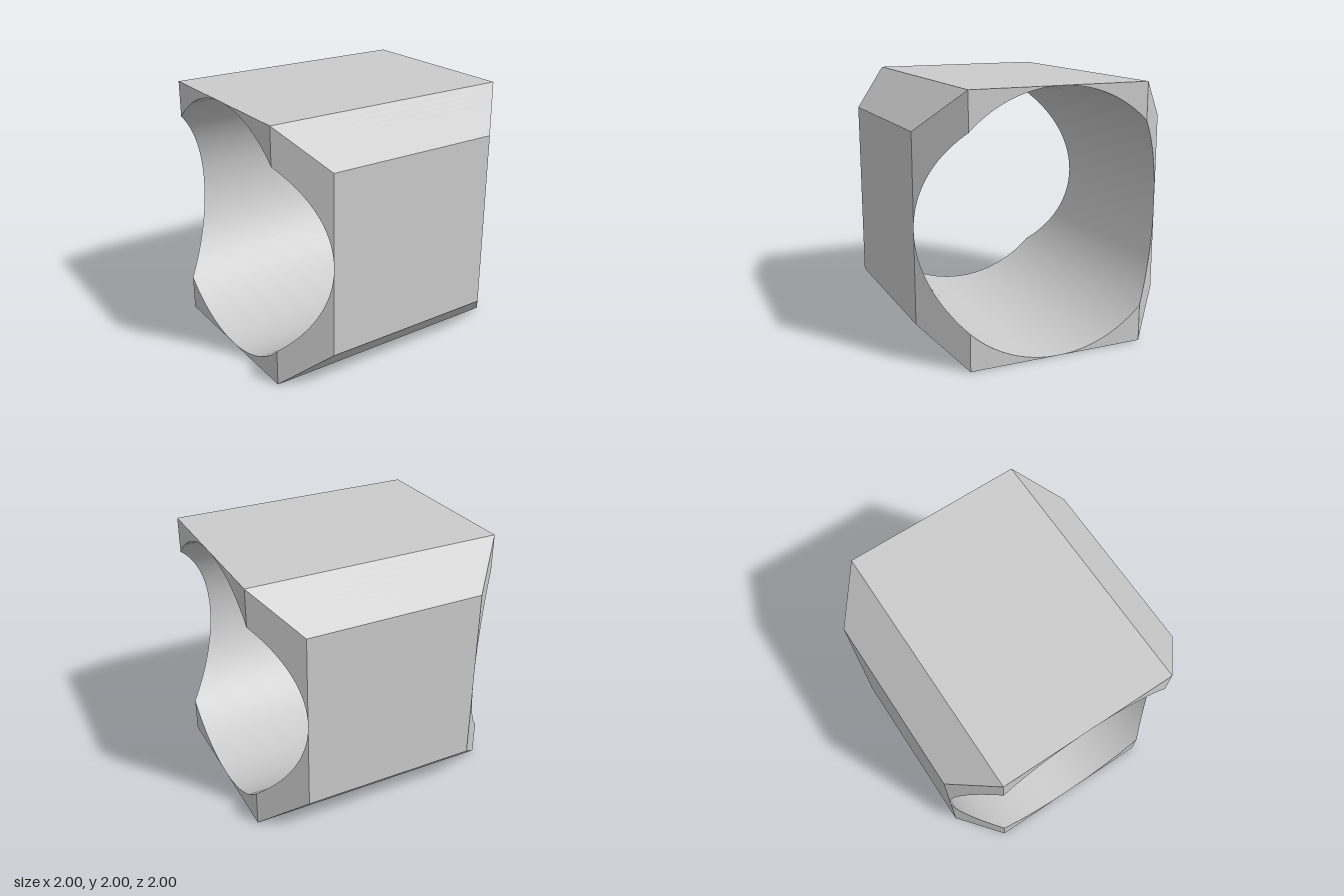
import * as THREE from 'three';
import { mergeGeometries, toCreasedNormals } from 'three/addons/utils/BufferGeometryUtils.js';

const FOLD = 0.7; // where the chamfers start, measured from the bore axis
const SEGMENTS = 64; // bore segments per half turn

// Half the block's length, shortened by the chamfered end corners
const halfLength = (z) => Math.min(1, 1 + FOLD - Math.abs(z));

const at = (side, [z, y]) => [side * halfLength(z), y, z];

// Geometry from a list of four-cornered faces
function fromQuads(quads) {
  const positions = quads.flatMap(([a, b, c, d]) => [a, b, c, a, c, d].flat());
  const geometry = new THREE.BufferGeometry();
  geometry.setAttribute('position', new THREE.Float32BufferAttribute(positions, 3));
  return geometry;
}

// A half and its half-turn copy about the bore axis
function bothHalves(quads) {
  const half = fromQuads(quads);
  return toCreasedNormals(mergeGeometries([half, half.clone().rotateX(Math.PI)]), 0.5);
}

export function createModel() {
  const material = new THREE.MeshStandardMaterial({ color: 0xcccccc });

  // Stations around the upper half, including the two chamfer folds
  const fold = Math.acos(FOLD);
  const angles = [fold, Math.PI - fold];
  for (let i = 0; i <= SEGMENTS; i++) angles.push((i / SEGMENTS) * Math.PI);
  angles.sort((a, b) => a - b);

  // The bore almost touches the outer faces
  const inner = angles.map((t) => [Math.cos(t), 0.9995 * Math.sin(t)]);
  const outer = inner.map(([z]) => [z, halfLength(z)]);

  const shell = [];
  const bore = [];
  for (let i = 0; i < angles.length - 1; i++) {
    const [o, p, a, b] = [outer[i], outer[i + 1], inner[i], inner[i + 1]];
    shell.push([at(-1, o), at(1, o), at(1, p), at(-1, p)]); // top and chamfers
    shell.push([at(1, o), at(1, a), at(1, b), at(1, p)]); // left end
    shell.push([at(-1, p), at(-1, b), at(-1, a), at(-1, o)]); // right end
    bore.push([at(-1, b), at(1, b), at(1, a), at(-1, a)]);
  }
  // Front and back faces
  for (const z of [1, -1]) {
    shell.push([at(-z, [z, 0]), at(z, [z, 0]), at(z, [z, FOLD]), at(-z, [z, FOLD])]);
  }

  const group = new THREE.Group();
  group.name = 'boredBlock';
  for (const [name, quads] of [['chamferedShell', shell], ['bore', bore]]) {
    const mesh = new THREE.Mesh(bothHalves(quads), material);
    mesh.name = name;
    mesh.position.y = 1;
    group.add(mesh);
  }
  return group;
}
